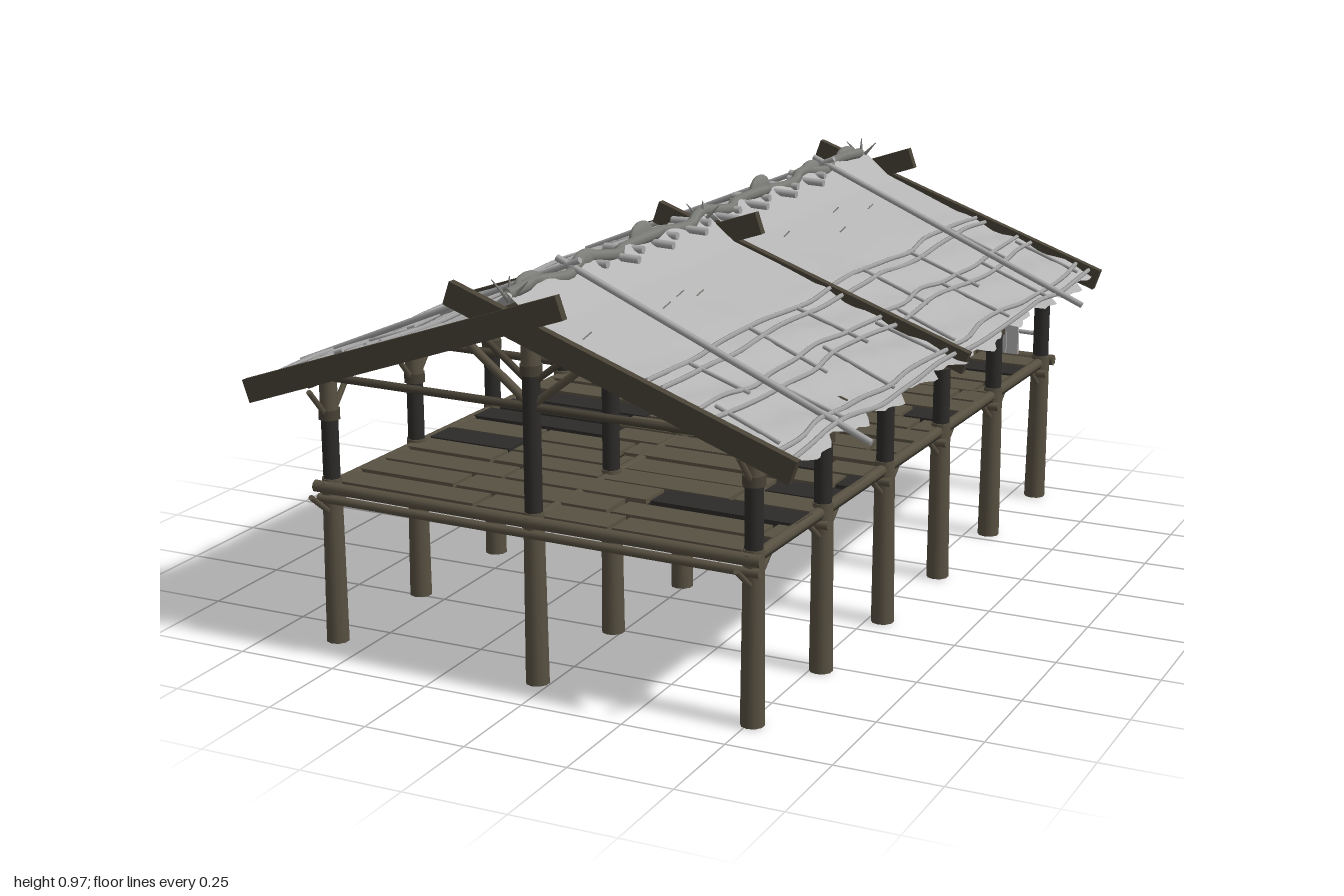
import * as THREE from 'three';

const mat = (name, color) => {
  const m = new THREE.MeshStandardMaterial({ color, side: THREE.DoubleSide });
  m.name = name;
  return m;
};

export function createModel() {
  const wood = mat('weathered wood', 0x585142);
  const dark = mat('charred wood', 0x2c2b29);
  const gable = mat('gable wood', 0x484236);
  const floorDark = mat('floor underside', 0x25221c);
  const thatch = mat('pale roofing', 0xb4b4b4);
  const pale = mat('pale sticks', 0xa6a6a6);
  const ridgeGrey = mat('ridge grey', 0x7c7c78);

  let seed = 7;
  const rnd = (a = 0, b = 1) => {
    seed = (seed * 16807) % 2147483647;
    return a + (b - a) * (seed / 2147483647);
  };
  const V = (x, y, z) => new THREE.Vector3(x, y, z);
  const root = new THREE.Group();
  root.name = 'stiltHall';
  const add = (name, geo, m, parent = root) => {
    const mesh = new THREE.Mesh(geo, m);
    mesh.name = name;
    parent.add(mesh);
    return mesh;
  };
  // Round pole between two points
  const pole = (name, a, b, r0, m, r1 = r0, sides = 8) => {
    const mesh = add(name, new THREE.CylinderGeometry(r1, r0, a.distanceTo(b), sides), m);
    mesh.position.copy(a).lerp(b, 0.5);
    mesh.quaternion.setFromUnitVectors(V(0, 1, 0), b.clone().sub(a).normalize());
    return mesh;
  };
  const box = (name, x, y, z, w, h, d, m) => {
    const mesh = add(name, new THREE.BoxGeometry(w, h, d), m);
    mesh.position.set(x, y, z);
    return mesh;
  };
  const tube = (name, pts, r, m, sides = 6) =>
    add(name, new THREE.TubeGeometry(new THREE.CatmullRomCurve3(pts), pts.length * 3, r, sides), m);

  const rows = [0.865, 0.51, 0.155, -0.2, -0.565, -0.93];
  const cols = [-0.555, -0.008, 0.54];

  // Posts: thick stilts, dark upper shafts and lashed heads
  for (const z of rows) for (const x of cols) {
    const mid = x === cols[1];
    const top = mid ? 0.87 : 0.67, band = mid ? 0.75 : 0.575;
    const lean = rnd(-0.006, 0.006);
    pole('stilt', V(x + lean, 0.012, z + lean), V(x, 0.42, z), 0.028, wood, 0.024, 10);
    pole('upperPost', V(x, 0.42, z), V(x, band, z), 0.021, dark, 0.021, 10);
    pole('postHead', V(x, band, z), V(x, top, z), 0.023, wood, 0.021, 10);
    pole('postCollar', V(x, band - 0.012, z), V(x, band + 0.012, z), 0.026, gable, 0.026, 10);
    // Small knee braces below the floor and under the wall plate
    for (const s of [-1, 1]) {
      if (Math.abs(z + s * 0.08) > 0.96) continue;
      if (!mid) pole('floorBrace', V(x, 0.335, z + s * 0.01), V(x, 0.395, z + s * 0.085), 0.007, wood, 0.007, 6);
      if (!mid) pole('plateBrace', V(x, 0.57, z + s * 0.01), V(x, 0.645, z + s * 0.075), 0.007, wood, 0.007, 6);
    }
  }

  // Cross beams, tie beams and roof struts at each row of posts
  for (const z of rows) {
    const end = Math.abs(z) > 0.8;
    pole('floorJoist', V(-0.58, 0.372, z + 0.02), V(0.565, 0.372, z + 0.02), 0.011, wood);
    if (end) pole('endFloorBeam', V(-0.585, 0.402, z + Math.sign(z) * 0.024), V(0.57, 0.402, z + Math.sign(z) * 0.024), 0.015, wood);
    pole('tieBeam', V(-0.575, 0.663, z), V(0.56, 0.663, z), 0.01, gable);
    for (const s of [-1, 1]) {
      pole('roofStrut', V(-0.008, 0.665, z), V(-0.008 + s * 0.18, 0.805, z), 0.01, wood, 0.01, 6);
      pole('innerStrut', V(-0.008, 0.715, z), V(-0.008 + s * 0.13, 0.815, z), 0.008, gable, 0.008, 6);
      pole('rafter', V(-0.01 + s * 0.64, 0.645, z), V(-0.01, 0.875, z), 0.01, gable, 0.01, 6);
    }
  }

  // Long beams: floor edges, wall plates, ridge pole
  for (const x of cols) {
    const y = x === cols[1] ? 0.87 : 0.665;
    pole('longFloorBeam', V(x, 0.4, 0.9), V(x, 0.4, -0.965), 0.014, wood);
    pole('longTopBeam', V(x, y, 0.94), V(x, y, -0.95), 0.012, gable);
  }

  // Floor: dark underlayer and uneven boards
  box('floorBase', -0.007, 0.392, -0.033, 1.11, 0.012, 1.81, floorDark);
  const boards = 18, pitch = 1.8 / boards;
  for (let i = 0; i < boards; i++) {
    let x = -0.56;
    while (x < 0.53) {
      const w = Math.min(rnd(0.2, 0.42), 0.55 - x);
      box('floorBoard', x + w / 2, 0.404 + rnd(-0.002, 0.003), -0.933 + pitch * (i + 0.5),
        w - 0.012, 0.012, pitch - rnd(0.008, 0.02), rnd() < 0.14 ? dark : wood);
      x += w;
    }
  }

  // Slatted fences: one across the back bay, one inside as a partition
  const slat = (x, z, h, alongX) => {
    const w = rnd(0.024, 0.036);
    const m = box('fenceSlat', x, 0.412 + h / 2, z, alongX ? w : 0.009, h, alongX ? 0.009 : w, thatch);
    m.rotation[alongX ? 'z' : 'x'] = rnd(-0.04, 0.04);
  };
  for (const x of [0.09, 0.125, 0.16, 0.255, 0.335, 0.37, 0.405, 0.445, 0.48])
    slat(x - 0.025, -0.935, rnd(0.14, 0.19), true);
  for (const z of [-0.27, -0.305, -0.345, -0.43, -0.465, -0.5, -0.53])
    slat(0.28 + rnd(-0.01, 0.01), z, rnd(0.15, 0.2), false);
  pole('fenceRail', V(0.01, 0.485, -0.942), V(0.53, 0.475, -0.942), 0.006, pale, 0.006, 6);
  pole('partitionRail', V(0.285, 0.48, -0.2), V(0.285, 0.48, -0.56), 0.006, pale, 0.006, 6);

  // Roof height at distance d from the ridge, with a gentle sag
  const ridgeX = -0.012;
  const roofY = (d, z) => 0.905 - 0.375 * d + 0.035 * Math.max(0, 1 - d / 0.08)
    + 0.006 * Math.sin(z * 11 + d * 9) * Math.min(1, d * 2.5);

  for (const s of [-1, 1]) for (const h of [-1, 1]) {
    const zc = h * 0.482, len = 0.94;
    // Covering sheet, wavy at the eave and stepped at the battens
    const sheet = new THREE.PlaneGeometry(1, len, 26, 44);
    const p = sheet.attributes.position;
    for (let i = 0; i < p.count; i++) {
      const t = p.getX(i) + 0.5, z = p.getY(i) + zc;
      const rag = 0.012 * Math.sin(z * 31 + s) + 0.008 * Math.sin(z * 67);
      const d = t * (0.685 + rag);
      const lift = d > 0.3 ? 0.006 * Math.sin(d * 45 + Math.floor(z * 7)) : 0;
      p.setXYZ(i, ridgeX + s * d, roofY(d, z) + lift, z);
    }
    if (s > 0) sheet.index.array.reverse();
    sheet.computeVertexNormals();
    add('roofSheet', sheet, thatch);

    // Slightly bent battens running along the roof
    for (const d of s < 0 ? [0.33, 0.37, 0.5, 0.54, 0.645, 0.67] : [0.34, 0.37, 0.47, 0.51, 0.64, 0.67]) {
      const pts = [];
      for (let k = 0; k <= 8; k++) {
        const z = zc + (k / 8 - 0.5) * len, dd = d + rnd(-0.008, 0.008);
        pts.push(V(ridgeX + s * dd, roofY(dd, z) + 0.008, z));
      }
      tube('roofBatten', pts, 0.006, pale, 5);
    }
    // Short sticks lying down the slope between battens
    for (let k = 0; k < 7; k++) {
      const z = zc + (k / 6 - 0.5) * 0.8 + rnd(-0.03, 0.03), d = k % 2 ? 0.34 : 0.48, e = d + rnd(0.14, 0.2);
      pole('shortStick', V(ridgeX + s * d, roofY(d, z) + 0.009, z), V(ridgeX + s * e, roofY(e, z) + 0.009, z), 0.005, pale, 0.005, 5);
    }
    // Thin dark splits in the covering
    for (let k = 0; k < 4; k++) {
      const z = zc + rnd(-0.38, 0.38), d = rnd(0.11, 0.2);
      pole('sheetSplit', V(ridgeX + s * d, roofY(d, z) + 0.001, z), V(ridgeX + s * (d + 0.008), roofY(d + 0.008, z) + 0.001, z + 0.05), 0.002, ridgeGrey, 0.002, 4);
    }
    // Long hold-down pole from ridge to eave
    pole('holdDownPole', V(ridgeX - s * 0.03, 0.962, h * 0.688), V(ridgeX + s * 0.745, 0.635, h * 0.688), 0.008, pale, 0.008, 6);
  }

  // Gable boards crossing above the ridge at both ends and the middle
  for (const zc of [0.965, 0, -0.968]) for (const s of [-1, 1]) {
    const m = box('gableBoard', ridgeX + s * 0.273, 0.783, zc - s * 0.005, 0.885, 0.056, 0.02, gable);
    m.rotation.z = -s * 0.335;
  }

  // Ridge: twisted cap, bulging lumps, short pegs and end spikes
  const cap = [];
  for (let k = 0; k <= 32; k++) {
    const z = 0.95 - k * 0.0594;
    cap.push(V(ridgeX + 0.012 * Math.sin(k * 1.9), 0.937 + 0.008 * Math.sin(k * 1.3), z));
  }
  tube('ridgeCap', cap, 0.014, ridgeGrey, 7);
  for (const z of [0.85, 0.6, 0.33, -0.31, -0.62, -0.85]) {
    const lump = add('ridgeLump', new THREE.SphereGeometry(1, 10, 8), ridgeGrey);
    lump.position.set(ridgeX - 0.01, 0.942, z);
    lump.scale.set(0.016, Math.abs(z) < 0.4 ? 0.038 : 0.024, 0.055);
  }
  for (let k = 0; k < 15; k++) {
    const z = -0.62 + k * 0.085, s = k % 2 ? 1 : -1;
    pole('ridgePeg', V(ridgeX - s * 0.035, 0.928, z), V(ridgeX + s * 0.07, 0.925, z), 0.01, pale, 0.01, 7);
  }
  for (const z of [0.94, 0.03, -0.94]) for (const s of [-1, 0, 1])
    pole('ridgeSpike', V(ridgeX, 0.92, z), V(ridgeX + s * 0.04, 0.975 - Math.abs(s) * 0.01, z - 0.01 * s), 0.007, ridgeGrey, 0.001, 5);

  // The whole hall stands slightly turned
  root.rotation.y = -0.031;
  const model = new THREE.Group();
  model.name = 'stiltHallModel';
  model.add(root);
  return model;
}
